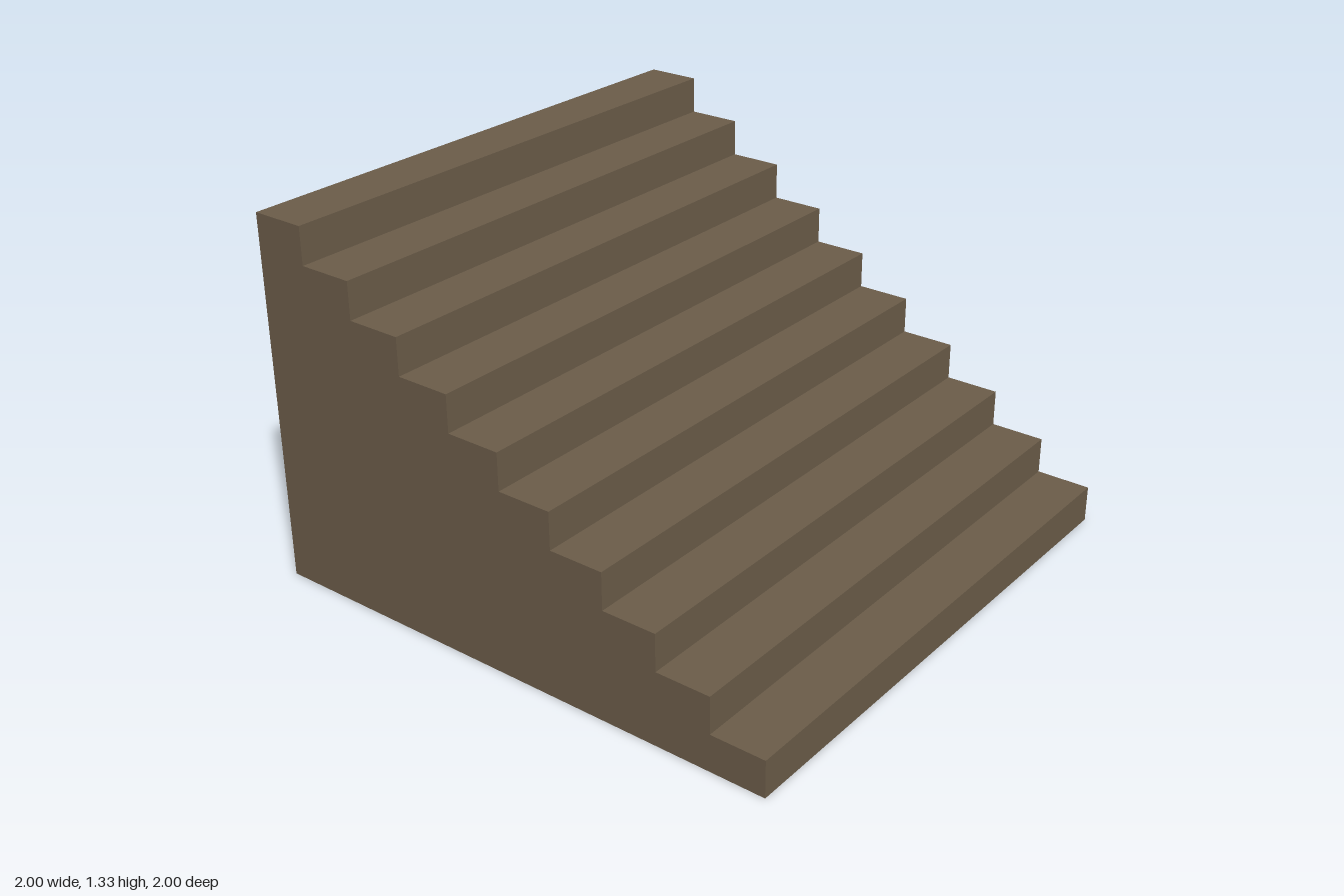
import * as THREE from 'three';

const STEPS = 10;
const WIDTH = 2;
const RUN = 2 / STEPS;
const RISE = 4 / 3 / STEPS;

export function createModel() {
  const group = new THREE.Group();
  group.name = 'staircase';
  // Thin open shell: no back and no underside
  const brown = new THREE.MeshStandardMaterial({ color: 0x6b5c49, side: THREE.DoubleSide });
  brown.name = 'brown';

  const add = (name, geometry, x, y, z) => {
    const mesh = new THREE.Mesh(geometry, brown);
    mesh.name = name;
    mesh.position.set(x, y, z);
    group.add(mesh);
  };

  // Risers and treads, climbing from front to back
  const riser = new THREE.PlaneGeometry(WIDTH, RISE);
  const tread = new THREE.PlaneGeometry(WIDTH, RUN).rotateX(-Math.PI / 2);
  for (let i = 0; i < STEPS; i++) {
    const front = 1 - i * RUN;
    add(`riser${i + 1}`, riser, 0, (i + 0.5) * RISE, front);
    add(`tread${i + 1}`, tread, 0, (i + 1) * RISE, front - RUN / 2);
  }

  // Stepped side walls; the outline runs from the front to the back
  const outline = new THREE.Shape();
  outline.moveTo(-1, 0);
  for (let i = 0; i < STEPS; i++) {
    outline.lineTo(-1 + i * RUN, (i + 1) * RISE);
    outline.lineTo(-1 + (i + 1) * RUN, (i + 1) * RISE);
  }
  outline.lineTo(1, 0);
  outline.closePath();
  const left = new THREE.ShapeGeometry(outline).rotateY(Math.PI / 2);
  // The right wall is the left wall with its winding reversed to face outward
  const right = left.clone();
  right.setIndex(Array.from(left.index.array).reverse());
  right.computeVertexNormals();
  add('leftWall', left, WIDTH / 2, 0, 0);
  add('rightWall', right, -WIDTH / 2, 0, 0);

  return group;
}
